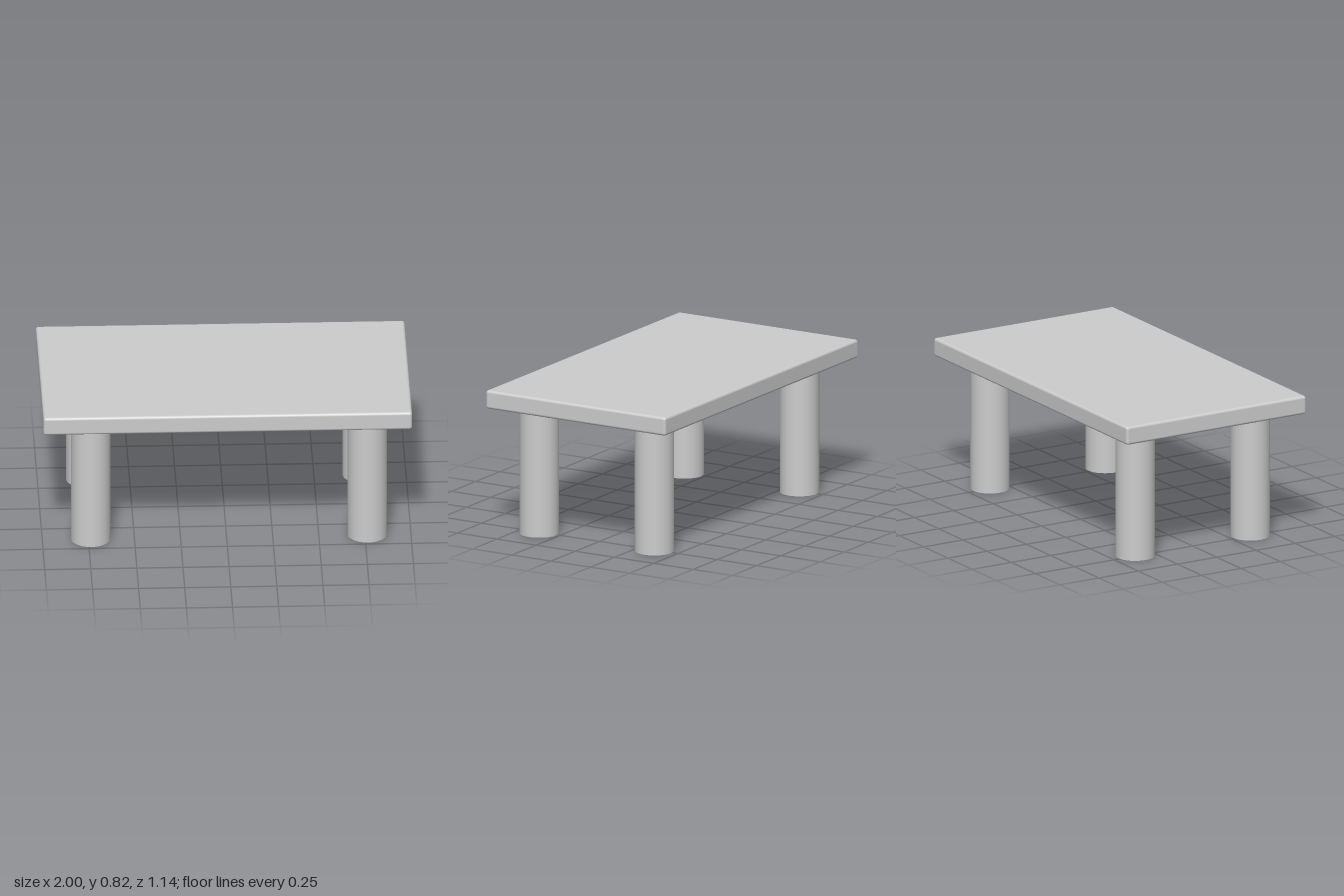
import * as THREE from 'three';
import { RoundedBoxGeometry } from 'three/addons/geometries/RoundedBoxGeometry.js';

const TOP_BOTTOM = 0.72;
const TOP_HEIGHT = 0.103;
const LEG_RADIUS = 0.107;

export function createModel() {
  const group = new THREE.Group();
  group.name = 'table';
  const grey = new THREE.MeshStandardMaterial({ color: 0xcccccc });
  grey.name = 'light grey';

  // Slab with softly rounded edges
  const top = new THREE.Mesh(new RoundedBoxGeometry(2, TOP_HEIGHT, 1.144, 3, 0.015), grey);
  top.name = 'tableTop';
  top.position.y = TOP_BOTTOM + TOP_HEIGHT / 2;
  group.add(top);

  // Four round legs, set slightly off centre under the slab
  const legGeometry = new THREE.CylinderGeometry(LEG_RADIUS, LEG_RADIUS, TOP_BOTTOM + 0.01, 32);
  for (const [xName, x] of [['Right', -0.737], ['Left', 0.763]]) {
    for (const [zName, z] of [['front', 0.375], ['back', -0.358]]) {
      const leg = new THREE.Mesh(legGeometry, grey);
      leg.name = `${zName}${xName}Leg`;
      leg.position.set(x, (TOP_BOTTOM + 0.01) / 2, z);
      group.add(leg);
    }
  }
  return group;
}
